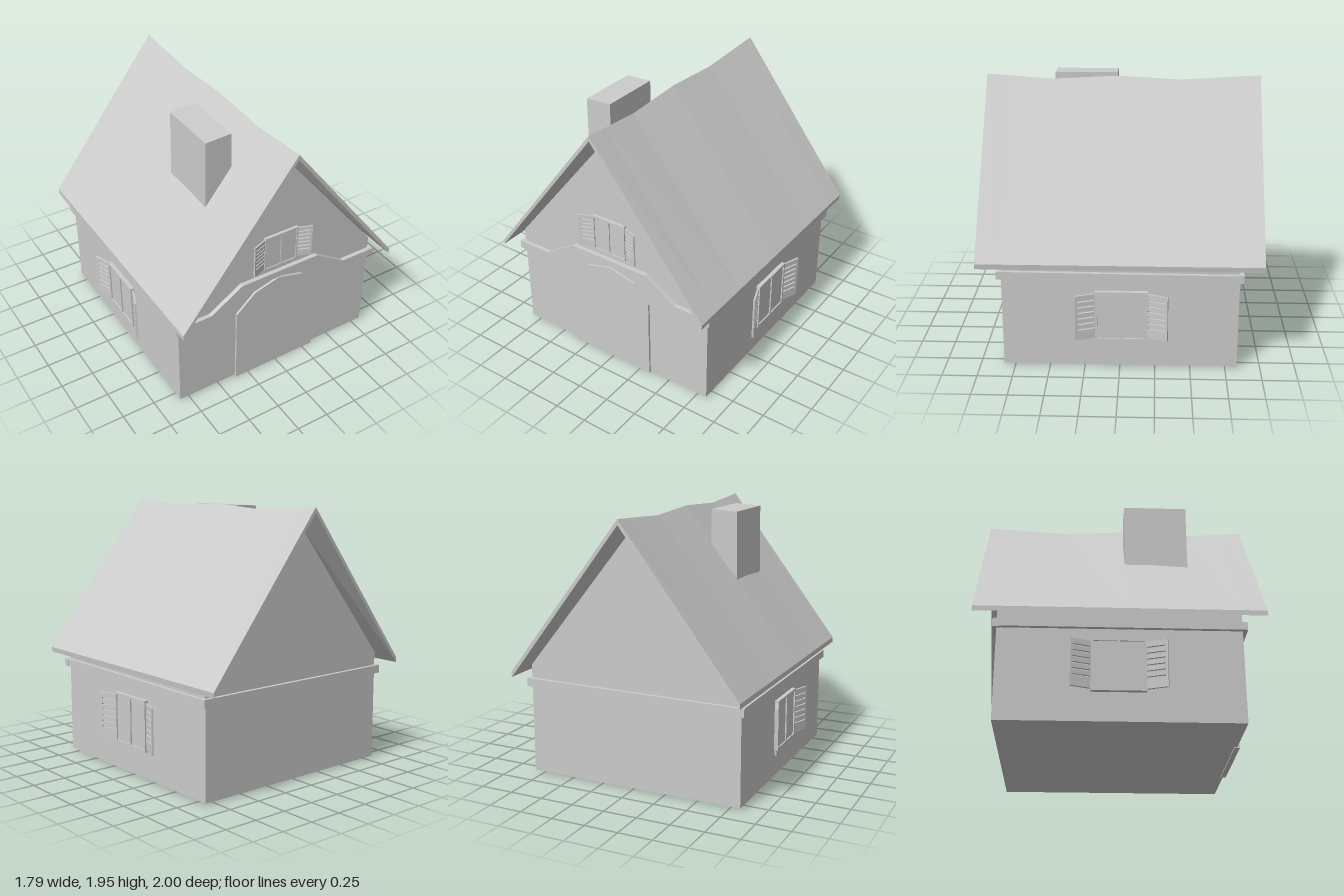
import * as THREE from 'three';

const material = new THREE.MeshStandardMaterial({ color: 0xcccccc, flatShading: true, side: THREE.DoubleSide });

function add(parent, name, geometry, x = 0, y = 0, z = 0) {
  const mesh = new THREE.Mesh(geometry, material);
  mesh.name = name;
  mesh.position.set(x, y, z);
  parent.add(mesh);
  return mesh;
}
const box = (w, h, d) => new THREE.BoxGeometry(w, h, d);
const outline = (points) => new THREE.Shape(points.map(([x, y]) => new THREE.Vector2(x, y)));
const extrude = (shape, depth) => new THREE.ExtrudeGeometry(shape, { depth, bevelEnabled: false });

// Corners of a rectangle
const rect = (x0, x1, y0, y1) => [[x0, y0], [x1, y0], [x1, y1], [x0, y1]];

// Sagging roof: cross-sections from front to back, joined in loops
function roofGeometry() {
  // z, outer ridge height, inner ridge height
  const stations = [
    [1, 1.945, 1.905], [0.83, 1.932, 1.843], [0.53, 1.91, 1.84], [0.05, 1.935, 1.84],
    [-0.42, 1.91, 1.84], [-0.83, 1.935, 1.843], [-1, 1.945, 1.905],
  ];
  const sections = stations.map(([z, top, under]) => [
    [0, top, z], [0.89, 0.805, z], [0.885, 0.767, z],
    [0, under, z], [-0.88, 0.767, z], [-0.88, 0.805, z],
  ]);
  const positions = [];
  const quad = (a, b, c, d) => positions.push(...a, ...b, ...c, ...a, ...c, ...d);
  for (let i = 0; i < sections.length - 1; i++) {
    const s = sections[i], t = sections[i + 1];
    for (let j = 0; j < 6; j++) {
      const k = (j + 1) % 6;
      quad(s[j], s[k], t[k], t[j]);
    }
  }
  const f = sections[0], b = sections[sections.length - 1];
  quad(f[0], f[3], f[2], f[1]);
  quad(f[0], f[5], f[4], f[3]);
  quad(b[1], b[2], b[3], b[0]);
  quad(b[3], b[4], b[5], b[0]);
  const geometry = new THREE.BufferGeometry();
  geometry.setAttribute('position', new THREE.Float32BufferAttribute(positions, 3));
  geometry.computeVertexNormals();
  return geometry;
}

// Window with two panes and slotted shutters standing ajar, facing +z
function makeWindow(name) {
  const group = new THREE.Group();
  group.name = name;
  const frame = outline(rect(-0.185, 0.185, -0.188, 0.188));
  for (const s of [-1, 1]) {
    frame.holes.push(outline(rect(s * 0.0885 - 0.081, s * 0.0885 + 0.081, -0.17, 0.17)));
    add(group, 'windowPane', box(0.166, 0.344, 0.02), s * 0.0885, 0, 0.01);

    const shutter = outline(rect(0, s * 0.155, -0.17, 0.17));
    for (let i = 0; i < 6; i++) {
      const y = 0.125 - i * 0.043;
      shutter.holes.push(outline(rect(s * 0.012, s * 0.137, y - 0.006, y + 0.006)));
    }
    const mesh = add(group, 'shutter', extrude(shutter, 0.014), s * 0.182, 0, 0.004);
    mesh.rotation.y = -s * 0.35;
  }
  add(group, 'windowFrame', extrude(frame, 0.03));
  return group;
}

export function createModel() {
  const house = new THREE.Group();
  house.name = 'house';

  // Walls with gables
  add(house, 'walls', extrude(outline([
    [-0.825, 0.01], [0.825, 0.01], [0.825, 0.825], [0, 1.84], [-0.825, 0.825],
  ]), 1.665), 0, 0, -0.835);

  add(house, 'roof', roofGeometry());

  // Chimney with a slightly slanted top
  add(house, 'chimney', extrude(outline([
    [-0.415, 1.25], [-0.205, 1.25], [-0.205, 1.917], [-0.408, 1.907],
  ]), 0.47), 0, 0, 0.05);

  // Door panel with a faceted arch
  add(house, 'door', extrude(outline([
    [-0.355, 0], [0.335, 0], [0.335, 0.628], [0.205, 0.762],
    [0, 0.815], [-0.2, 0.76], [-0.355, 0.62],
  ]), 0.037), 0, 0, 0.81);

  // Trim band, rising over the door at the front
  add(house, 'frontTrim', extrude(outline([
    [-0.85, 0.67], [-0.57, 0.67], [-0.3, 0.832], [0.3, 0.845], [0.57, 0.677], [0.855, 0.677],
    [0.855, 0.732], [0.57, 0.732], [0.32, 0.89], [-0.32, 0.89], [-0.575, 0.73], [-0.85, 0.73],
  ]), 0.05), 0, 0, 0.812);
  add(house, 'backTrim', box(1.705, 0.06, 0.05), 0, 0.697, -0.837);
  for (const s of [-1, 1]) {
    const side = add(house, 'sideTrim', box(0.05, 0.058, 1.7), s * 0.828, 0.7, 0);
    side.rotation.x = s > 0 ? -0.006 : 0;
  }

  // Side windows and the smaller gable window
  for (const s of [-1, 1]) {
    const sideWindow = makeWindow('sideWindow');
    sideWindow.position.set(s * 0.825, 0.403, -0.012);
    sideWindow.rotation.y = s * Math.PI / 2;
    house.add(sideWindow);
  }
  const gableWindow = makeWindow('gableWindow');
  gableWindow.scale.setScalar(0.75);
  gableWindow.position.set(0.006, 1.075, 0.83);
  house.add(gableWindow);

  return house;
}
